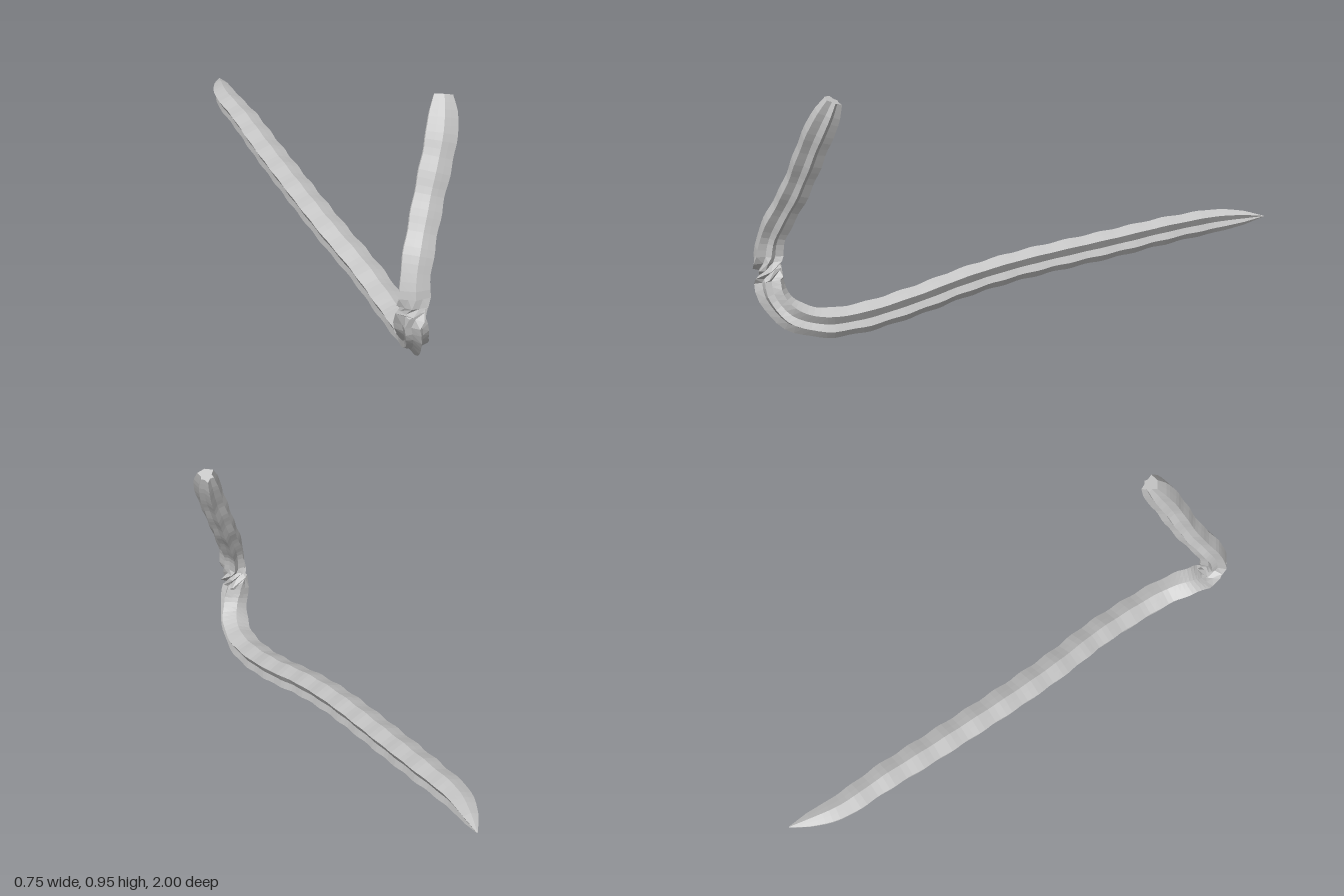
import * as THREE from 'three';

// Centre line of the stalk: x, y, z, radius (pointed tip -> bend -> pinch -> blunt end)
const PATH = [
  [-0.335, 0.357, -1, 0.002],
  [-0.335, 0.352, -0.92, 0.032],
  [-0.325, 0.342, -0.8, 0.054],
  [-0.26, 0.318, -0.6, 0.061],
  [-0.198, 0.284, -0.4, 0.064],
  [-0.067, 0.219, 0, 0.065],
  [0.01, 0.175, 0.2, 0.065],
  [0.1, 0.12, 0.4, 0.065],
  [0.17, 0.074, 0.6, 0.065],
  [0.205, 0.066, 0.74, 0.064],
  [0.212, 0.1, 0.855, 0.063],
  [0.2, 0.17, 0.92, 0.061],
  [0.186, 0.235, 0.938, 0.06],
  [0.193, 0.268, 0.938, 0.064],
  [0.192, 0.31, 0.942, 0.059],
  [0.196, 0.4, 0.925, 0.059],
  [0.25, 0.6, 0.818, 0.059],
  [0.307, 0.8, 0.73, 0.062],
  [0.322, 0.88, 0.69, 0.058],
  [0.328, 0.938, 0.66, 0.037],
];
const WRING_START = 11.8, WRING_END = 14.2;   // path span where the stalk is wrung
const WRING_ANGLE = Math.PI * 7 / 6;
const RINGS = 110;

// Six ribs with grooves between, from the keel round; deep below, nearly flat opposite the keel
const RIBS = [1, 0.62, 0.86, 0.6, 1.03, 0.82, 0.86, 0.82, 1.03, 0.6, 0.76, 0.62];
const SIDES = RIBS.length;

function stalkGeometry() {
  const curve = new THREE.CatmullRomCurve3(
    PATH.map(([x, y, z]) => new THREE.Vector3(x, y, z)), false, 'centripetal');
  curve.arcLengthDivisions = 800;
  const length = curve.getLength();
  const pos = [], index = [];
  const lowSide = new THREE.Vector3(0.94, 0, -0.35);
  const highSide = new THREE.Vector3(0.86, 0, 0.52);

  for (let i = 0; i <= RINGS; i++) {
    const u = i / RINGS;
    const t = curve.getUtoTmapping(u);
    const k = t * (PATH.length - 1);
    const a = Math.min(Math.floor(k), PATH.length - 2);
    const centre = curve.getPoint(t), tangent = curve.getTangent(t);

    // gentle swellings along the length, fading at both ends
    const fade = Math.min(1, u * 12, (1 - u) * 12);
    const swell = 1 + 0.04 * fade * Math.cos(u * length / 0.14 * Math.PI * 2);
    const r = THREE.MathUtils.lerp(PATH[a][3], PATH[a + 1][3], k - a) * swell;

    // the cross-section turns over at the pinch
    const wring = THREE.MathUtils.smoothstep(k, WRING_START, WRING_END);
    const side = lowSide.clone().lerp(highSide, wring);
    side.addScaledVector(tangent, -side.dot(tangent)).normalize();
    const up = tangent.clone().cross(side);

    RIBS.forEach((rib, j) => {
      const angle = j / SIDES * Math.PI * 2 - Math.PI / 2 + wring * WRING_ANGLE;
      const p = centre.clone()
        .addScaledVector(side, r * rib * Math.cos(angle))
        .addScaledVector(up, r * rib * Math.sin(angle));
      pos.push(p.x, p.y, p.z);
    });
  }

  for (let i = 0; i < RINGS; i++) {
    for (let j = 0; j < SIDES; j++) {
      const a = i * SIDES + j, b = i * SIDES + (j + 1) % SIDES;
      index.push(a, b, a + SIDES, b, b + SIDES, a + SIDES);
    }
  }
  // blunt end cap
  const last = RINGS * SIDES, hub = pos.length / 3;
  pos.push(...PATH[PATH.length - 1].slice(0, 3));
  for (let j = 0; j < SIDES; j++) index.push(last + j, last + (j + 1) % SIDES, hub);

  const geo = new THREE.BufferGeometry();
  geo.setAttribute('position', new THREE.Float32BufferAttribute(pos, 3));
  geo.setIndex(index);
  // rest on the ground
  geo.computeBoundingBox();
  geo.translate(0, -geo.boundingBox.min.y, 0);
  const flat = geo.toNonIndexed();
  flat.computeVertexNormals();
  return flat;
}

export function createModel() {
  const group = new THREE.Group();
  group.name = 'bentStalk';
  const grey = new THREE.MeshStandardMaterial({ color: 0xc4c4c4, flatShading: true, side: THREE.DoubleSide });
  grey.name = 'pale grey';
  const stalk = new THREE.Mesh(stalkGeometry(), grey);
  stalk.name = 'stalk';
  group.add(stalk);
  return group;
}
